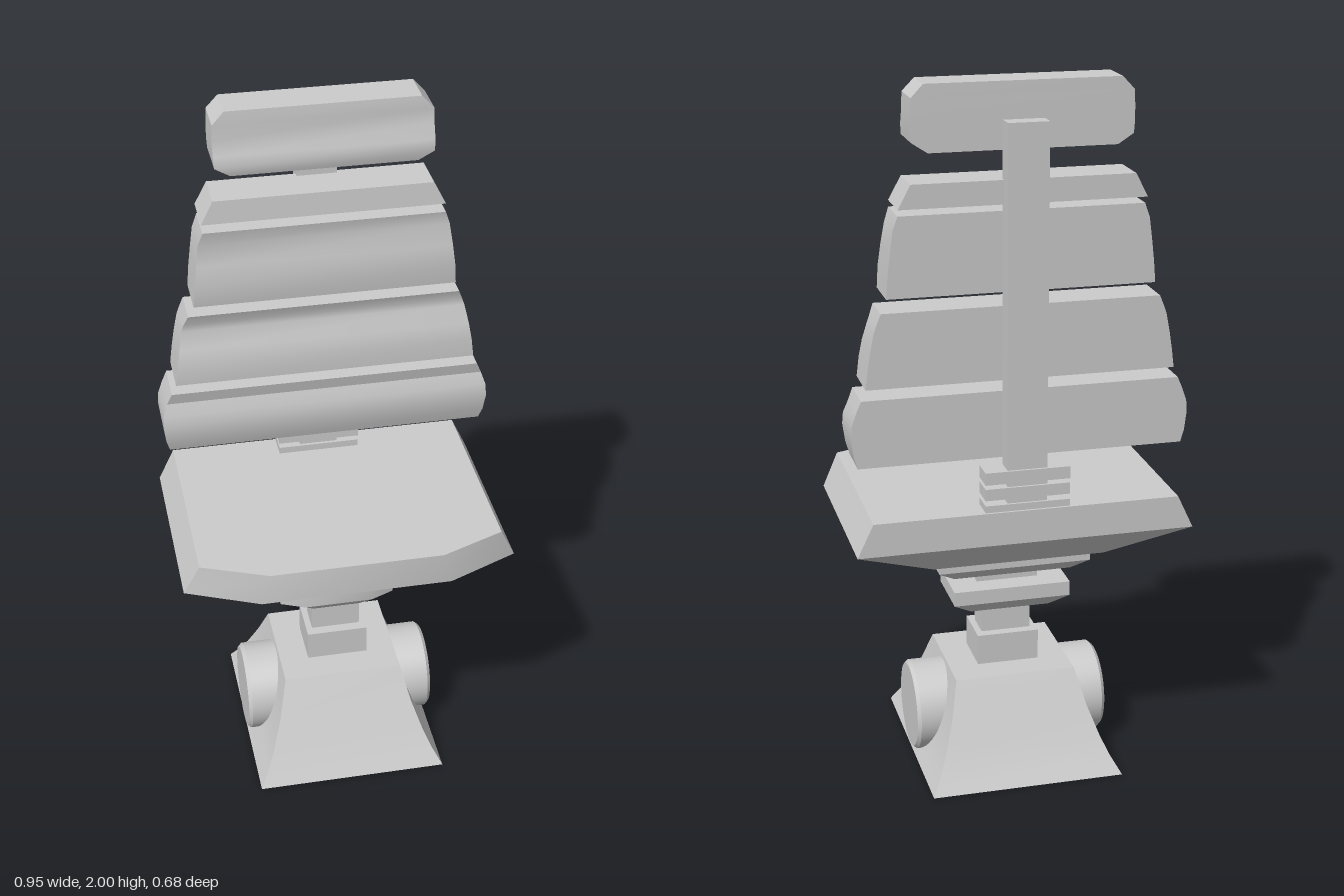
import * as THREE from 'three';
import { toCreasedNormals } from 'three/addons/utils/BufferGeometryUtils.js';

const material = new THREE.MeshStandardMaterial({ color: 0xcccccc });
const openMaterial = new THREE.MeshStandardMaterial({ color: 0xcccccc, side: THREE.DoubleSide });

// Skin a stack of horizontal rings; each ring is { y, pts: [[x, z], ...] }, anticlockwise from above.
function loft(rings, closedBottom = true) {
  const n = rings[0].pts.length, last = (rings.length - 1) * n;
  const pos = [], index = [];
  for (const { y, pts } of rings) for (const [x, z] of pts) pos.push(x, y, z);
  for (let i = 0; i < rings.length - 1; i++) {
    for (let j = 0; j < n; j++) {
      const a = i * n + j, b = i * n + (j + 1) % n;
      index.push(a, b, b + n, a, b + n, a + n);
    }
  }
  for (let j = 1; j < n - 1; j++) {
    index.push(last, last + j, last + j + 1);
    if (closedBottom) index.push(0, j + 1, j);
  }
  const geo = new THREE.BufferGeometry();
  geo.setAttribute('position', new THREE.Float32BufferAttribute(pos, 3));
  geo.setIndex(index);
  return toCreasedNormals(geo, 0.5);
}

const rect = (w, front, back) => [[w, front], [w, back], [-w, back], [-w, front]];

// Rectangle with its two front corners cut off.
const cutRect = (w, front, back, frontW, cut) => [
  [w, front - cut], [w, back], [-w, back], [-w, front - cut], [-frontW, front], [frontW, front],
];

export function createModel() {
  const group = new THREE.Group();
  const add = (name, geo, mat = material) => {
    const mesh = new THREE.Mesh(geo, mat);
    mesh.name = name;
    group.add(mesh);
    return mesh;
  };
  const box = (name, w, y0, y1, front, back) => {
    add(name, new THREE.BoxGeometry(2 * w, y1 - y0, front - back))
      .position.set(0, (y0 + y1) / 2, (front + back) / 2);
  };

  // Flared hollow base, rows of [y, half width, front z, back z]
  add('base', loft([
    [0, 0.278, 0.296, -0.338],
    [0.05, 0.25, 0.265, -0.305],
    [0.1, 0.228, 0.236, -0.276],
    [0.18, 0.2, 0.192, -0.234],
    [0.28, 0.175, 0.138, -0.18],
  ].map(([y, w, f, b]) => ({ y, pts: rect(w, f, b) })), false), openMaterial);

  // Round side drums with a small bevelled rim
  const drumProfile = [[0, 0], [0.131, 0], [0.131, 0.112], [0.122, 0.122], [0, 0.122]]
    .map(([r, h]) => new THREE.Vector2(r, h));
  for (const side of [-1, 1]) {
    const drum = add(side > 0 ? 'leftDrum' : 'rightDrum',
      toCreasedNormals(new THREE.LatheGeometry(drumProfile, 48), 0.5));
    drum.rotation.z = -side * Math.PI / 2;
    drum.position.set(side * 0.16, 0.139, -0.021);
  }

  // Column
  box('columnFoot', 0.09, 0.28, 0.37, 0.052, -0.093);
  box('columnNeck', 0.072, 0.37, 0.46, 0.022, -0.064);
  add('lowerCollar', loft([
    { y: 0.46, pts: cutRect(0.115, 0.042, -0.113, 0.07, 0.02) },
    { y: 0.495, pts: cutRect(0.17, 0.075, -0.145, 0.1, 0.03) },
    { y: 0.537, pts: cutRect(0.17, 0.075, -0.145, 0.1, 0.03) },
  ]));
  box('columnTop', 0.09, 0.537, 0.58, 0.032, -0.08);
  add('upperCollar', loft([
    { y: 0.58, pts: cutRect(0.17, 0.068, -0.143, 0.1, 0.03) },
    { y: 0.612, pts: cutRect(0.22, 0.1, -0.175, 0.125, 0.037) },
    { y: 0.652, pts: cutRect(0.22, 0.1, -0.175, 0.125, 0.037) },
  ]));

  // Seat
  add('seat', loft([
    { y: 0.65, pts: cutRect(0.245, 0.217, -0.22, 0.14, 0.06) },
    { y: 0.745, pts: cutRect(0.475, 0.342, -0.317, 0.27, 0.09) },
    { y: 0.84, pts: cutRect(0.43, 0.342, -0.317, 0.245, 0.075) },
  ]));

  // Back post and the plates at its foot
  box('backPost', 0.056, 0.84, 1.9, -0.247, -0.303);
  [[0.84, 0.86], [0.875, 0.908], [0.92, 0.955]]
    .forEach(([y0, y1], i) => box(`postPlate${i + 1}`, 0.119, y0, y1, -0.238, -0.31));

  // Back cushions: back z and rows of [y, half width, front z]
  const cushions = {
    lowerCushion: [-0.246, [[0.975, 0.456, -0.122], [1.01, 0.466, -0.111], [1.06, 0.472, -0.104],
      [1.095, 0.47, -0.11], [1.13, 0.458, -0.122], [1.165, 0.443, -0.114]]],
    middleCushion: [-0.246, [[1.195, 0.43, -0.112], [1.25, 0.423, -0.111], [1.3, 0.415, -0.121],
      [1.35, 0.405, -0.142], [1.37, 0.398, -0.142], [1.402, 0.385, -0.13]]],
    upperCushion: [-0.246, [[1.44, 0.37, -0.115], [1.5, 0.365, -0.108], [1.56, 0.358, -0.116],
      [1.62, 0.35, -0.13], [1.66, 0.336, -0.122]]],
    topCushion: [-0.262, [[1.68, 0.338, -0.132], [1.745, 0.304, -0.138]]],
    headrest: [-0.252, [[1.822, 0.255, -0.124], [1.85, 0.298, -0.116], [1.88, 0.3, -0.122],
      [1.92, 0.3, -0.138], [1.965, 0.298, -0.136], [2, 0.265, -0.14]]],
  };
  for (const [name, [back, rows]] of Object.entries(cushions)) {
    add(name, loft(rows.map(([y, w, front]) => ({ y, pts: rect(w, front, back) }))));
  }

  return group;
}
